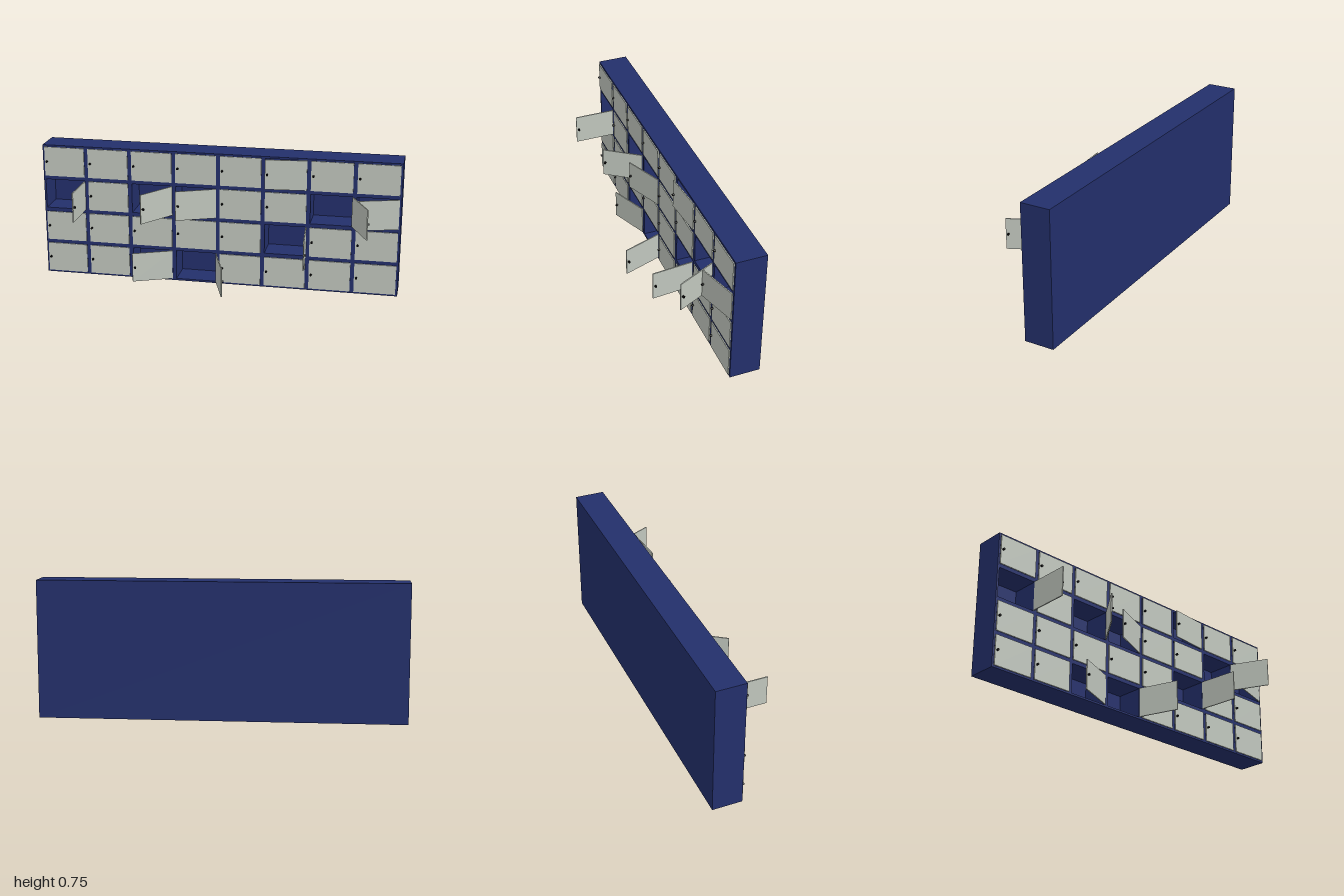
import * as THREE from 'three';

const COLS = 8, ROWS = 4;
const WIDTH = 2, HEIGHT = 0.755;
const BACK = -0.197, FRONT = -0.031, BACK_THICK = 0.011;
const PITCH_X = WIDTH / COLS, PITCH_Y = HEIGHT / ROWS;
const GAP = 0.022, DOOR_THICK = 0.006;
const DOOR_W = PITCH_X - GAP, DOOR_H = PITCH_Y - GAP;

// Opening angle in degrees of the doors left ajar, keyed by "row,column" from the bottom left
const OPEN = {
  '0,2': 23, '0,3': 108.7,
  '1,5': 94.5,
  '2,0': 90, '2,2': 55, '2,3': 23, '2,6': 115, '2,7': 16.5,
  '3,5': 5,
};

function rectangle(target, x0, y0, x1, y1) {
  target.moveTo(x0, y0);
  target.lineTo(x1, y0);
  target.lineTo(x1, y1);
  target.lineTo(x0, y1);
  target.closePath();
  return target;
}

export function createModel() {
  const model = new THREE.Group();
  model.name = 'lockerWall';

  const blue = new THREE.MeshStandardMaterial({ color: 0x232f6b });
  blue.name = 'navy cabinet';
  const grey = new THREE.MeshStandardMaterial({ color: 0xc0c6bd });
  grey.name = 'pale grey door';
  const black = new THREE.MeshStandardMaterial({ color: 0x050505 });
  black.name = 'black knob';

  // Cabinet grid: one slab pierced by every compartment
  const outline = rectangle(new THREE.Shape(), -WIDTH / 2, 0, WIDTH / 2, HEIGHT);
  for (let r = 0; r < ROWS; r++) {
    for (let c = 0; c < COLS; c++) {
      const x = -WIDTH / 2 + c * PITCH_X + GAP / 2;
      const y = r * PITCH_Y + GAP / 2;
      outline.holes.push(rectangle(new THREE.Path(), x, y, x + DOOR_W, y + DOOR_H));
    }
  }
  const gridGeometry = new THREE.ExtrudeGeometry(outline, {
    depth: FRONT - BACK - BACK_THICK, bevelEnabled: false,
  });
  gridGeometry.translate(0, 0, BACK + BACK_THICK);
  const grid = new THREE.Mesh(gridGeometry, blue);
  grid.name = 'cabinetGrid';
  model.add(grid);

  // Back panel closing the compartments
  const back = new THREE.Mesh(new THREE.BoxGeometry(WIDTH, HEIGHT, BACK_THICK), blue);
  back.name = 'backPanel';
  back.position.set(0, HEIGHT / 2, BACK + BACK_THICK / 2);
  model.add(back);

  // Doors: the hinge is the group origin, the panel reaches towards -x
  const panelGeometry = new THREE.BoxGeometry(DOOR_W, DOOR_H, DOOR_THICK);
  panelGeometry.translate(-DOOR_W / 2, 0, 0);
  const knobGeometry = new THREE.CylinderGeometry(0.0058, 0.0058, 0.011, 16);
  knobGeometry.rotateX(Math.PI / 2);
  knobGeometry.translate(-DOOR_W + 0.013, 0, DOOR_THICK / 2 + 0.0055);

  for (let r = 0; r < ROWS; r++) {
    for (let c = 0; c < COLS; c++) {
      const door = new THREE.Group();
      door.name = `door_row${r + 1}_column${c + 1}`;
      const panel = new THREE.Mesh(panelGeometry, grey);
      panel.name = 'doorPanel';
      const knob = new THREE.Mesh(knobGeometry, black);
      knob.name = 'doorKnob';
      door.add(panel, knob);
      door.position.set(
        -WIDTH / 2 + (c + 1) * PITCH_X - GAP / 2,
        (r + 0.5) * PITCH_Y,
        FRONT + DOOR_THICK / 2 + 0.0005,
      );
      door.rotation.y = THREE.MathUtils.degToRad(OPEN[`${r},${c}`] ?? 0);
      model.add(door);
    }
  }
  return model;
}
